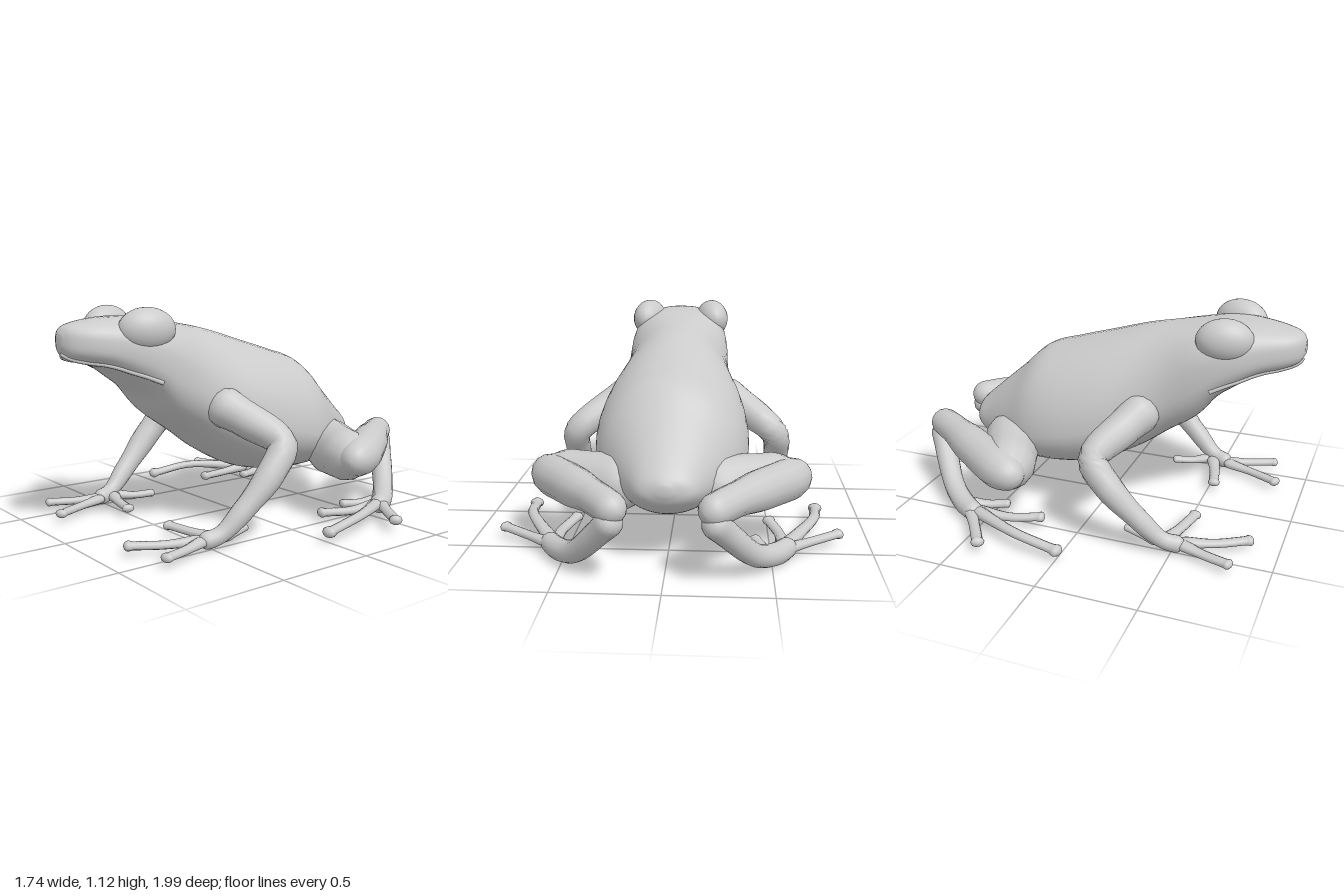
import * as THREE from 'three';

const material = new THREE.MeshStandardMaterial({ color: 0xcccccc });
const UP = new THREE.Vector3(0, 1, 0);

// Skin a list of closed rings (counter-clockwise about the travel direction), capped at both ends
function loft(rings) {
  const n = rings[0].length, pos = [], idx = [];
  rings.forEach(r => r.forEach(p => pos.push(p.x, p.y, p.z)));
  for (let i = 0; i < rings.length - 1; i++) {
    for (let j = 0; j < n; j++) {
      const a = i * n + j, b = i * n + (j + 1) % n;
      idx.push(a, b, a + n, b, b + n, a + n);
    }
  }
  [0, rings.length - 1].forEach((i, end) => {
    const c = rings[i].reduce((s, p) => s.add(p), new THREE.Vector3()).divideScalar(n);
    const k = pos.length / 3;
    pos.push(c.x, c.y, c.z);
    for (let j = 0; j < n; j++) {
      const a = i * n + j, b = i * n + (j + 1) % n;
      if (end) idx.push(a, b, k); else idx.push(b, a, k);
    }
  });
  const g = new THREE.BufferGeometry();
  g.setAttribute('position', new THREE.Float32BufferAttribute(pos, 3));
  g.setIndex(idx);
  g.computeVertexNormals();
  return g;
}

function addMesh(parent, name, geometry) {
  const m = new THREE.Mesh(geometry, material);
  m.name = name;
  parent.add(m);
  return m;
}

// Round-ended limb through rows of [x, y, z, radius]; flat squashes its height
function limb(rows, s, flat = 1, steps = 32, sides = 14) {
  const curve = new THREE.CatmullRomCurve3(rows.map(r => new THREE.Vector3(r[0] * s, r[1], r[2])));
  const first = curve.getPoint(0), last = curve.getPoint(1), rings = [];
  for (let i = 0; i <= steps; i++) {
    const t = (1 - Math.cos(Math.PI * i / steps)) / 2;
    const c = curve.getPoint(t), tan = curve.getTangent(t);
    const f = t * (rows.length - 1), k = Math.min(Math.floor(f), rows.length - 2);
    let r = THREE.MathUtils.lerp(rows[k][3], rows[k + 1][3], THREE.MathUtils.smoothstep(f - k, 0, 1));
    const d = Math.min(c.distanceTo(first), c.distanceTo(last)) / r;
    if (d < 1) r *= Math.sqrt(Math.max(1 - (1 - d) ** 2, 0.0004));
    const side = new THREE.Vector3().crossVectors(UP, tan).normalize();
    const nrm = new THREE.Vector3().crossVectors(tan, side);
    const ring = [];
    for (let j = 0; j < sides; j++) {
      const a = j / sides * Math.PI * 2;
      ring.push(c.clone().addScaledVector(side, r * Math.cos(a)).addScaledVector(nrm, r * flat * Math.sin(a)));
    }
    rings.push(ring);
  }
  return loft(rings);
}

// Body stations from rump to snout: z, top, bottom, half width, height of widest point
const stations = [
  [-0.785, 0.42, 0.37, 0.03, 0.39],
  [-0.75, 0.47, 0.31, 0.13, 0.38],
  [-0.65, 0.56, 0.24, 0.20, 0.38],
  [-0.5, 0.69, 0.205, 0.29, 0.40],
  [-0.36, 0.815, 0.20, 0.365, 0.42],
  [-0.2, 0.87, 0.205, 0.395, 0.45],
  [0, 0.93, 0.24, 0.38, 0.50],
  [0.2, 0.99, 0.34, 0.325, 0.58],
  [0.35, 1.02, 0.45, 0.29, 0.68],
  [0.5, 1.045, 0.56, 0.28, 0.80],
  [0.6, 1.06, 0.68, 0.265, 0.86],
  [0.7, 1.065, 0.755, 0.235, 0.90],
  [0.8, 1.06, 0.82, 0.19, 0.92],
  [0.9, 1.045, 0.85, 0.14, 0.94],
  [0.97, 1.025, 0.88, 0.085, 0.95],
  [1.0, 0.99, 0.925, 0.03, 0.96],
];
const heights = new THREE.CatmullRomCurve3(
  stations.map(s => new THREE.Vector3(s[0], s[1], s[2])), false, 'catmullrom');
const widths = new THREE.CatmullRomCurve3(
  stations.map(s => new THREE.Vector3(s[0], s[3], s[4])), false, 'catmullrom');

function bodyPoint(t, a) {
  const h = heights.getPoint(t), w = widths.getPoint(t);
  const e = THREE.MathUtils.lerp(1, 0.75, THREE.MathUtils.smoothstep(h.x, 0.2, 0.6));
  const c = Math.cos(a), s = Math.sin(a);
  const x = w.y * Math.sign(c) * Math.abs(c) ** e;
  const y = w.z + (s > 0 ? h.y - w.z : w.z - h.z) * Math.sign(s) * Math.abs(s) ** e;
  return new THREE.Vector3(x, y, h.x);
}

function bodyGeometry() {
  const rings = [];
  for (let i = 0; i <= 75; i++) {
    const ring = [];
    for (let j = 0; j < 40; j++) ring.push(bodyPoint(i / 75, j / 40 * Math.PI * 2));
    rings.push(ring);
  }
  return loft(rings);
}

// A toe runs from the foot to a wider flattened pad
const toe = (from, mid, tip, r = 0.028) => [
  [...from, r * 1.35], [...mid, r], [
    mid[0] * 0.25 + tip[0] * 0.75, mid[1] * 0.25 + tip[1] * 0.75, mid[2] * 0.25 + tip[2] * 0.75, r],
  [...tip, r * 1.65]];

export function createModel() {
  const frog = new THREE.Group();
  frog.name = 'frog';
  addMesh(frog, 'body', bodyGeometry());

  // Lip line wrapping round the snout
  const lip = [];
  for (let i = 0; i <= 20; i++) {
    const u = i / 10 - 1;
    const t = THREE.MathUtils.lerp(0.955, 0.66, Math.abs(u) ** 1.5);
    const a = -Math.PI / 2 + u * (Math.PI / 2 - 0.45);
    lip.push(bodyPoint(t, a));
  }
  addMesh(frog, 'lip', new THREE.TubeGeometry(new THREE.CatmullRomCurve3(lip), 60, 0.012, 6));

  for (const s of [1, -1]) {
    const label = s > 0 ? 'left' : 'right';
    const group = name => {
      const g = new THREE.Group();
      g.name = label + name;
      frog.add(g);
      return g;
    };

    // Bulging eye with its brow
    const eye = addMesh(frog, label + 'Eye', new THREE.SphereGeometry(1, 24, 16));
    eye.position.set(0.185 * s, 1.005, 0.64);
    eye.scale.set(0.09, 0.105, 0.14);
    eye.rotation.y = -0.25 * s;

    // Front leg: arm bent at the elbow, four fingers
    const front = group('FrontLeg');
    addMesh(front, 'arm', limb([
      [0.22, 0.65, 0.30, 0.11], [0.38, 0.56, 0.20, 0.09], [0.535, 0.45, 0.105, 0.075],
      [0.56, 0.33, 0.19, 0.07], [0.54, 0.17, 0.34, 0.054], [0.51, 0.06, 0.46, 0.042],
      [0.48, 0.035, 0.56, 0.045]], s, 1, 48));
    const fingers = [
      [[0.48, 0.04, 0.53], [0.53, 0.035, 0.67], [0.58, 0.04, 0.82]],
      [[0.47, 0.04, 0.53], [0.41, 0.035, 0.70], [0.32, 0.04, 0.87]],
      [[0.50, 0.04, 0.45], [0.34, 0.04, 0.50], [0.17, 0.045, 0.54]],
      [[0.50, 0.04, 0.44], [0.45, 0.03, 0.34], [0.41, 0.035, 0.23]],
    ];
    fingers.forEach(f => addMesh(front, 'finger', limb(toe(...f), s, 0.7, 24, 10)));

    // Hind leg: folded thigh and shank, tarsus returning forward to the foot
    const hind = group('HindLeg');
    addMesh(hind, 'thigh', limb([
      [0.12, 0.36, -0.56, 0.13], [0.32, 0.33, -0.45, 0.145],
      [0.5, 0.33, -0.37, 0.135], [0.67, 0.33, -0.29, 0.085]], s));
    addMesh(hind, 'shank', limb([
      [0.66, 0.33, -0.24, 0.08], [0.58, 0.34, -0.40, 0.105], [0.45, 0.355, -0.6, 0.1],
      [0.31, 0.365, -0.8, 0.08], [0.185, 0.355, -0.97, 0.075]], s));
    addMesh(hind, 'tarsus', limb([
      [0.20, 0.34, -0.95, 0.07], [0.30, 0.22, -0.87, 0.06], [0.42, 0.09, -0.76, 0.055],
      [0.52, 0.05, -0.64, 0.055], [0.6, 0.05, -0.52, 0.05]], s));
    const toes = [
      [[0.54, 0.05, -0.60], [0.70, 0.05, -0.48], [0.86, 0.055, -0.37]],
      [[0.56, 0.05, -0.56], [0.73, 0.075, -0.24], [0.77, 0.045, 0.03]],
      [[0.56, 0.05, -0.56], [0.55, 0.04, -0.36], [0.50, 0.05, -0.18]],
      [[0.50, 0.05, -0.64], [0.46, 0.035, -0.53], [0.42, 0.04, -0.42]],
    ];
    toes.forEach(f => addMesh(hind, 'toe', limb(toe(...f), s, 0.75, 24, 10)));
  }
  return frog;
}
